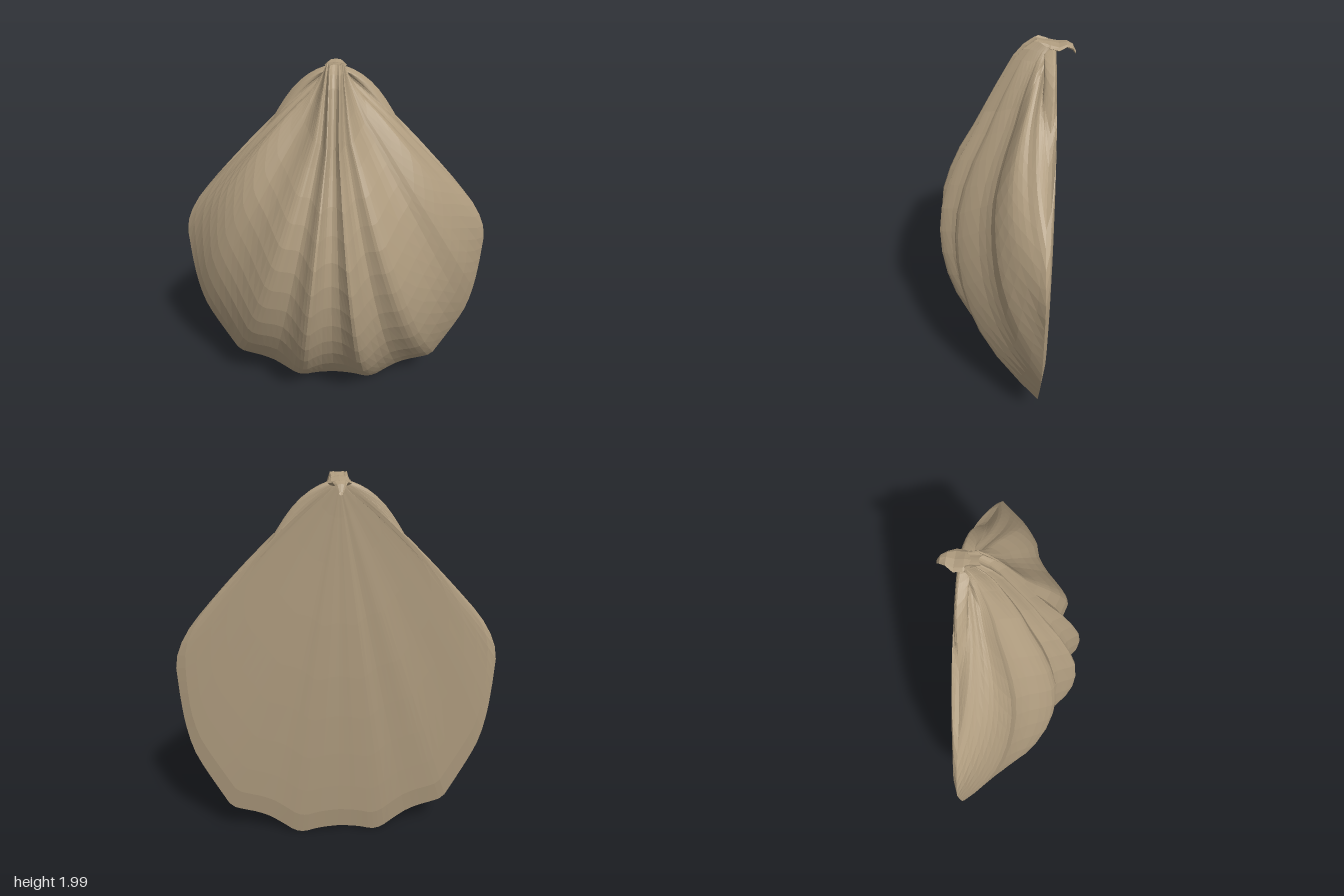
import * as THREE from 'three';

const shellMaterial = new THREE.MeshStandardMaterial({ color: 0xae9b7e, flatShading: true, side: THREE.DoubleSide });

// Half outline from bottom centre round to the top: [x, y, rib height, bow x, bow y]
const OUTLINE = [
  [0, 0.035, 0.44, 0, 0], [0.07, 0.03, 0.45, 0, 0], [0.13, 0.02, 0.48, 0, 0], [0.19, 0.005, 0.51, 0, 0],
  [0.24, 0.015, 0.49, 0, 0], [0.3, 0.06, 0.44, 0, 0], [0.38, 0.12, 0.4, 0, 0], [0.46, 0.155, 0.41, 0, 0],
  [0.53, 0.175, 0.42, 0, 0], [0.585, 0.2, 0.41, 0.005, 0], [0.64, 0.3, 0.365, 0.015, 0], [0.71, 0.44, 0.285, 0.03, 0],
  [0.76, 0.56, 0.235, 0.05, 0], [0.79, 0.7, 0.22, 0.06, 0], [0.803, 0.82, 0.19, 0.05, 0.03],
  [0.81, 0.95, 0.155, 0.03, 0.06], [0.81, 1.08, 0.12, -0.015, 0.075], [0.76, 1.21, 0.085, -0.04, 0.07],
  [0.66, 1.345, 0.06, -0.04, 0.073], [0.55, 1.45, 0.045, -0.04, 0.075], [0.42, 1.575, 0.04, -0.025, 0.065],
  [0.33, 1.68, 0.04, 0, 0.04], [0.265, 1.785, 0.04, 0, 0.02], [0.195, 1.875, 0.04, 0, 0.01],
  [0.12, 1.935, 0.04, 0, 0.003], [0.055, 1.965, 0.03, 0, 0], [0, 1.98, 0.03, 0, 0],
];

// Rows from beak to rim: [t, height factor, lift, widening]
const FRONT_ROWS = [
  [0.008, 0.1, 0.04, 0.03], [0.015, 0.2, 0.065, 0.03], [0.025, 0.29, 0.05, 0.03], [0.045, 0.37, 0.035, 0.025],
  [0.07, 0.42, 0.025, 0.02], [0.11, 0.49, 0.01, 0.01], [0.16, 0.57, 0, 0], [0.22, 0.66, 0, 0],
  [0.29, 0.785, 0, 0], [0.36, 0.89, 0, 0], [0.43, 0.97, 0, 0], [0.5, 1, 0, 0], [0.57, 0.99, 0, 0],
  [0.64, 0.945, 0, 0], [0.71, 0.86, 0, 0], [0.78, 0.73, 0, 0], [0.86, 0.52, 0, 0], [0.94, 0.24, 0, 0], [1, 0, 0, 0],
];
// Rows of the back: [t, depth factor]
const BACK_ROWS = [
  [0.08, 0.9], [0.2, 0.95], [0.35, 1], [0.5, 0.96], [0.62, 0.86], [0.74, 0.71], [0.85, 0.52], [0.935, 0.34], [1, 0],
];
const APEX = [0, 1.96, -0.24];
const HALF_RAYS = 48;

// The rim leans back a little towards the top
const rimZ = (y) => -0.175 - 0.045 * THREE.MathUtils.smoothstep(y, 1.3, 1.98);

// Rays of the fan, both halves, counter-clockwise from the bottom
function makeRays() {
  const outline = new THREE.CatmullRomCurve3(OUTLINE.map(([x, y]) => new THREE.Vector3(x, y, 0)));
  const relief = new THREE.CatmullRomCurve3(OUTLINE.map(([, , h, bx, by]) => new THREE.Vector3(h, bx, by)));
  const rays = [];
  for (let i = 0; i < HALF_RAYS * 2; i++) {
    const mirrored = i > HALF_RAYS;
    const side = mirrored ? -1 : 1;
    const u = (mirrored ? HALF_RAYS * 2 - i : i) / HALF_RAYS;
    const p = outline.getPoint(u), r = relief.getPoint(u);
    rays.push({ x: side * p.x, y: p.y, height: r.x, bowX: side * r.y, bowY: r.z });
  }
  return rays;
}

// Joins rings of points into a surface, with a point closing the start
function loft(name, start, rings, flip) {
  const n = rings[0].length;
  const positions = [...start, ...rings.flat(2)];
  const index = [];
  const tri = (a, b, c) => (flip ? index.push(a, c, b) : index.push(a, b, c));
  for (let i = 0; i < n; i++) {
    const k = (i + 1) % n;
    tri(0, 1 + i, 1 + k);
    for (let j = 0; j < rings.length - 1; j++) {
      const a = 1 + j * n, b = a + n;
      tri(a + i, b + i, b + k);
      tri(a + i, b + k, a + k);
    }
  }
  const geometry = new THREE.BufferGeometry();
  geometry.setAttribute('position', new THREE.Float32BufferAttribute(positions, 3));
  geometry.setIndex(index);
  geometry.computeVertexNormals();
  const mesh = new THREE.Mesh(geometry, shellMaterial);
  mesh.name = name;
  return mesh;
}

export function createModel() {
  const group = new THREE.Group();
  group.name = 'seashell';
  const rays = makeRays();
  // Point on a bowed ray in the rim surface, from the apex outwards
  const along = (ray, t) => {
    const bow = 4 * t * (1 - t);
    const y = THREE.MathUtils.lerp(APEX[1], ray.y, t) + ray.bowY * bow;
    return [ray.x * t + ray.bowX * bow, y, THREE.MathUtils.lerp(APEX[2], rimZ(y), Math.min(1, t * 8))];
  };

  // Domed, ribbed front valve
  const front = FRONT_ROWS.map(([t, h, lift, widen]) => rays.map((ray) => {
    const [x, y, z] = along(ray, t);
    return [x + widen * Math.tanh(ray.x * 4), y + lift * Math.min(1, ray.height / 0.4), z + h * ray.height];
  }));
  group.add(loft('ribbedFrontValve', APEX, front, false));

  // Nearly flat back valve with faint ribs and a bevelled rim
  const back = BACK_ROWS.map(([t, h]) => rays.map((ray) => {
    const [x, y] = along(ray, t);
    const ripple = 0.12 * Math.max(0, 0.46 - ray.height) * Math.min(1, ray.height / 0.4) * Math.sin(Math.PI * t);
    return [x, y, rimZ(y) - h * (0.24 + rimZ(y)) + ripple];
  }));
  group.add(loft('backValve', APEX, back, true));

  // Small beak hooked over the back: [y, z, half width, half thickness]
  const beak = [
    [1.975, -0.17, 0.03, 0.014], [1.97, -0.21, 0.05, 0.016], [1.962, -0.25, 0.055, 0.014],
    [1.972, -0.285, 0.034, 0.01], [1.958, -0.312, 0.022, 0.014], [1.932, -0.328, 0.01, 0.008],
  ].map(([y, z, w, h]) => Array.from({ length: 8 }, (_, i) => {
    const a = (i / 8) * Math.PI * 2;
    return [w * Math.cos(a), y + h * Math.sin(a), z];
  }));
  group.add(loft('beak', [0, 1.975, -0.14], beak, false));

  return group;
}
